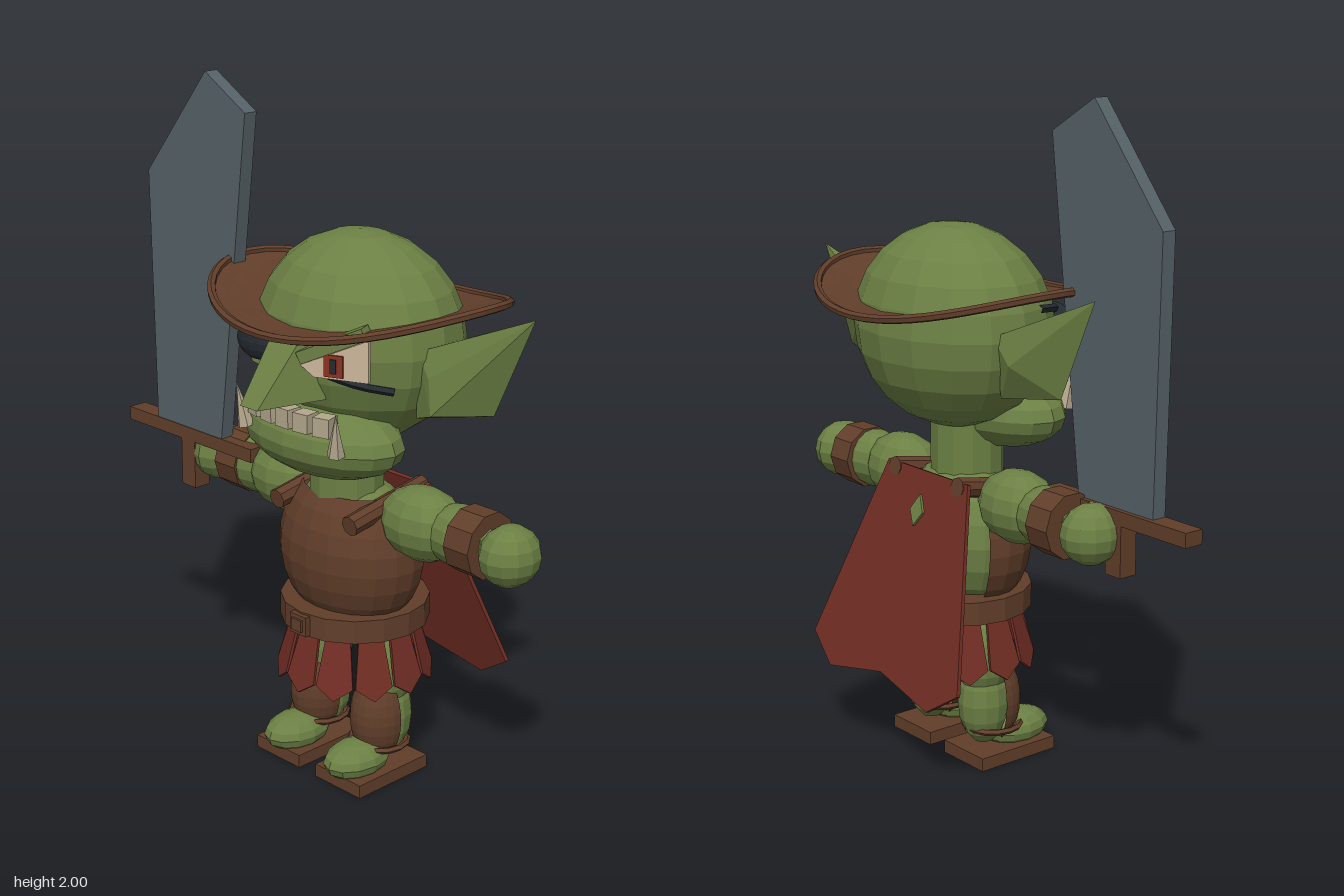
import * as THREE from 'three';
import { ConvexGeometry } from 'three/addons/geometries/ConvexGeometry.js';

const CX = 0.13; // the body's centre line; the blade reaches out on the other side

function mat(name, color, side = THREE.FrontSide) {
  const m = new THREE.MeshStandardMaterial({ color, flatShading: true, side });
  m.name = name;
  return m;
}

export function createModel() {
  const skin = mat('skin green', 0x6c8044);
  const leather = mat('leather brown', 0x613e2a, THREE.DoubleSide);
  const cloth = mat('cloth red', 0x702d24, THREE.DoubleSide);
  const steel = mat('steel grey', 0x556167);
  const dark = mat('patch black', 0x252b31);
  const ivory = mat('tooth ivory', 0xb3a78c);
  const eyeWhite = mat('eye cream', 0xcdb99b);
  const red = mat('iris red', 0x8a3322);

  const model = new THREE.Group();
  const body = new THREE.Group();
  body.name = 'body';
  body.position.x = CX;
  model.add(body);

  function add(name, geo, material, pos = [0, 0, 0], rot = [0, 0, 0], parent = body) {
    const m = new THREE.Mesh(geo, material);
    m.name = name;
    m.position.set(...pos);
    m.rotation.set(...rot);
    parent.add(m);
    return m;
  }
  const box = (w, h, d) => new THREE.BoxGeometry(w, h, d);
  const ball = (rx, ry, rz, w = 12, h = 8) => new THREE.SphereGeometry(1, w, h).scale(rx, ry, rz);
  // front-facing part of an ellipsoid, used for armour
  const shell = (rx, ry, rz, wrap, t0, t1) =>
    new THREE.SphereGeometry(1, 12, 8, -wrap, Math.PI + 2 * wrap, t0, t1 - t0).scale(rx, ry, rz);
  const plate = (pts, depth) => new THREE.ExtrudeGeometry(
    new THREE.Shape(pts.map(p => new THREE.Vector2(...p))), { depth, bevelEnabled: false });
  const hull = pts => new ConvexGeometry(pts.map(p => new THREE.Vector3(...p)));

  // head, jaw and neck
  const headZ = (x, y) => -0.03 + 0.27 * Math.sqrt(Math.max(0, 1 - (x / 0.33) ** 2 - ((y - 1.315) / 0.3) ** 2));
  add('head', ball(0.33, 0.3, 0.27, 16, 12), skin, [0, 1.315, -0.03]);
  add('jaw', ball(0.285, 0.115, 0.16, 16, 10), skin, [0, 1.05, 0.115]);
  add('neck', new THREE.CylinderGeometry(0.11, 0.11, 0.22, 12), skin, [0, 0.93, 0.02]);
  add('nose', hull([
    [-0.055, 1.365, 0.2], [0.055, 1.365, 0.2], [-0.055, 1.36, 0.255], [0.055, 1.36, 0.255],
    [-0.035, 1.185, 0.395], [0.035, 1.185, 0.395], [-0.1, 1.19, 0.2], [0.1, 1.19, 0.2],
  ]), skin);

  // teeth and tusks
  for (let i = -2; i <= 2; i++) {
    const x = i * 0.066;
    add('tooth', box(0.052, 0.055, 0.05), ivory,
      [x, 1.13, 0.115 + 0.135 * Math.sqrt(1 - (x / 0.285) ** 2)], [0, i * 0.14, 0]);
  }
  for (const s of [-1, 1])
    add('tusk', new THREE.ConeGeometry(0.026, 0.13, 6), ivory, [s * 0.192, 1.122, 0.252], [0.15, 0, -s * 0.14]);

  // ears
  for (const s of [-1, 1])
    add('ear', hull([
      [0.63, 1.475, -0.045], [0.495, 1.18, -0.045], [0.36, 1.17, 0.06], [0.34, 1.27, 0.05],
      [0.28, 1.33, 0.03], [0.28, 1.14, 0.03], [0.28, 1.33, -0.11], [0.36, 1.26, -0.12], [0.28, 1.15, -0.08],
    ].map(([x, y, z]) => [s * x, y, z])), skin);

  // eye, with a slanted brow above
  const eye = new THREE.Group();
  eye.name = 'eye';
  eye.position.set(0.15, 1.31, 0.21);
  eye.rotation.y = 0.4;
  body.add(eye);
  add('eyeball', plate([[-0.1, -0.015], [-0.06, -0.045], [0.1, -0.045], [0.1, 0.075]], 0.016), eyeWhite, [0, 0, 0], [0, 0, 0], eye);
  add('iris', box(0.055, 0.062, 0.008), red, [0, -0.007, 0.018], [0, 0, 0], eye);
  add('pupil', box(0.018, 0.04, 0.006), dark, [0, -0.007, 0.023], [0, 0, 0], eye);
  add('brow', box(0.21, 0.035, 0.05), skin, [-0.005, 0.05, 0.005], [0, 0, 0.43], eye);

  // eye patch and its strap across the face
  add('eyePatch', ball(0.078, 0.056, 0.035, 12, 8), dark, [-0.145, 1.315, 0.23]);
  const strapPts = [];
  for (let i = 0; i <= 10; i++) {
    const x = -0.31 + i * 0.058, y = 1.395 - i * 0.0165;
    strapPts.push(new THREE.Vector3(x, y, headZ(x, y) + 0.003));
  }
  add('patchStrap', new THREE.TubeGeometry(new THREE.CatmullRomCurve3(strapPts), 20, 0.012, 5), dark);

  // hat brim, curling up at both sides, with a rolled rim
  const brimY = x => 1.383 + 0.085 * x * x;
  const brim = new THREE.RingGeometry(0.4, 1, 24, 5).rotateX(-Math.PI / 2);
  const bp = brim.attributes.position;
  for (let i = 0; i < bp.count; i++) {
    const x = bp.getX(i), z = bp.getZ(i);
    bp.setXYZ(i, 0.465 * x, brimY(x), 0.37 * z - 0.02);
  }
  add('hatBrim', brim, leather);
  const rimPts = [];
  for (let i = 0; i < 24; i++) {
    const a = i / 24 * Math.PI * 2, x = Math.cos(a);
    rimPts.push(new THREE.Vector3(0.463 * x, brimY(x), 0.368 * Math.sin(a) - 0.02));
  }
  add('hatRim', new THREE.TubeGeometry(new THREE.CatmullRomCurve3(rimPts, true), 48, 0.013, 6, true), leather);

  // torso, breastplate and belt
  add('torso', ball(0.225, 0.23, 0.17, 14, 10), skin, [0, 0.68, 0]);
  add('breastplate', shell(0.24, 0.25, 0.185, 0.4, 0.72, 2.6), leather, [0, 0.68, 0]);
  add('belt', new THREE.CylinderGeometry(0.22, 0.22, 0.07, 16), leather, [0, 0.49, -0.015]);
  add('buckle', box(0.066, 0.06, 0.03), leather, [0, 0.49, 0.202]);
  add('bucklePlate', box(0.04, 0.036, 0.008), leather, [0, 0.49, 0.22]);

  // pointed skirt strips around the waist
  const strip = plate([[-0.035, 0], [-0.055, -0.16], [0, -0.2], [0.055, -0.16], [0.035, 0]], 0.008);
  for (let i = 0; i < 12; i++) {
    const pivot = new THREE.Group();
    pivot.name = 'skirtStrip';
    pivot.position.set(0, 0.465, -0.015);
    pivot.rotation.y = i * Math.PI / 6;
    body.add(pivot);
    add('strip', strip, cloth, [0, 0, 0.172], [-0.27, 0, 0], pivot);
  }

  // cape with a clasp plate and shoulder rolls
  const cape = new THREE.Group();
  cape.name = 'cape';
  cape.position.set(0, 0.885, -0.13);
  cape.rotation.x = 0.3;
  body.add(cape);
  add('capeCloth', plate([[0.19, 0], [0.355, -0.58], [0.24, -0.66], [0, -0.61],
    [-0.24, -0.66], [-0.355, -0.58], [-0.19, 0]], 0.012), cloth, [0, 0, 0], [0, 0, 0], cape);
  add('capeDiamond', plate([[0, 0.05], [-0.03, 0], [0, -0.045], [0.03, 0]], 0.008), skin, [0, -0.12, -0.008], [0, 0, 0], cape);
  for (const s of [-1, 1])
    add('shoulderRoll', new THREE.CylinderGeometry(0.03, 0.03, 0.3, 8), leather, [s * 0.15, 0.845, 0.01], [Math.PI / 2 + 0.17, 0, 0]);

  for (const s of [-1, 1]) {
    // arm
    add('upperArm', ball(0.145, 0.108, 0.1), skin, [s * 0.275, 0.82, -0.01]);
    add('forearm', ball(0.125, 0.09, 0.085), skin, [s * 0.42, 0.82, -0.015]);
    add('bracer', new THREE.CylinderGeometry(0.097, 0.097, 0.09, 10), leather, [s * 0.475, 0.82, -0.02], [0, 0, Math.PI / 2]);
    add('hand', ball(0.083, 0.088, 0.094), skin, [s * 0.593, 0.815, -0.015]);
    // leg
    const x = s * 0.128;
    add('thigh', ball(0.08, 0.14, 0.092), skin, [x, 0.33, -0.02]);
    add('calf', ball(0.074, 0.135, 0.08), skin, [x, 0.18, -0.022]);
    add('shinGuard', shell(0.083, 0.14, 0.09, 0.1, 0.7, 2.5), leather, [x, 0.18, 0.01]);
    add('foot', ball(0.08, 0.055, 0.115), skin, [x, 0.07, 0.1]);
    add('ankleStrap', new THREE.TorusGeometry(0.085, 0.01, 5, 14), leather, [x, 0.1, 0.01], [Math.PI / 2, 0, 0]);
    add('sandal', box(0.185, 0.04, 0.28), leather, [x, 0.02, 0.04]);
  }

  // broad blade held in the right hand
  const sword = new THREE.Group();
  sword.name = 'sword';
  model.add(sword);
  add('blade', plate([[-0.665, 0.89], [-0.365, 0.89], [-0.24, 1.9], [-0.41, 2.0], [-0.68, 1.675]], 0.045),
    steel, [0, 0, 0.024], [0, 0, 0], sword);
  add('guard', box(0.575, 0.042, 0.062), leather, [-0.518, 0.874, 0.04], [0, 0, 0], sword);
  add('grip', box(0.062, 0.17, 0.058), leather, [-0.523, 0.787, 0.04], [0, 0, 0], sword);

  return model;
}
